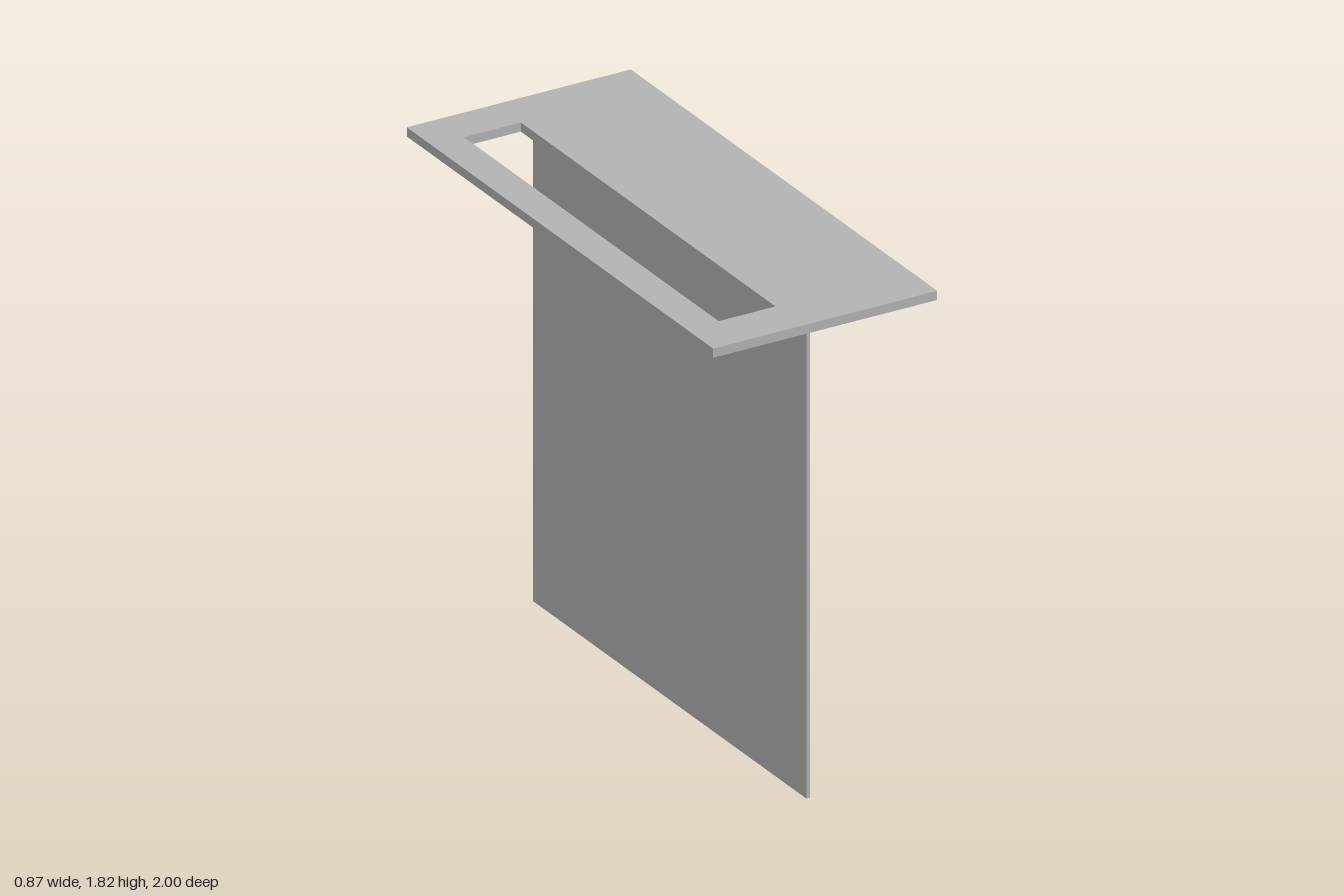
import * as THREE from 'three';

const TOP = 1.82, PLATE = 0.034, SHEET = 0.014;

const rect = (Type, x0, x1, y0, y1) => new Type([
  new THREE.Vector2(x0, y0), new THREE.Vector2(x1, y0),
  new THREE.Vector2(x1, y1), new THREE.Vector2(x0, y1),
]);

export function createModel() {
  const group = new THREE.Group();
  const grey = new THREE.MeshStandardMaterial({ color: 0xb2b2b2 });
  grey.name = 'grey';

  const add = (name, geometry) => {
    const mesh = new THREE.Mesh(geometry, grey);
    mesh.name = name;
    group.add(mesh);
  };

  // Top plate with an off-centre slot, extruded downward
  const plate = rect(THREE.Shape, -0.437, 0.437, -1, 1);
  plate.holes.push(rect(THREE.Path, -0.312, -0.09, -0.836, 0.826));
  add('topPlate', new THREE.ExtrudeGeometry(plate, { depth: PLATE, bevelEnabled: false })
    .rotateX(Math.PI / 2).translate(0, TOP, 0));

  // Hanging sheet: upright panel folded into a mounting flange under the plate
  const under = TOP - PLATE, left = -0.009, right = left + SHEET;
  const fold = new THREE.Shape([
    [left, 0], [right, 0], [right, under - SHEET],
    [0.135, under - SHEET], [0.135, under], [left, under],
  ].map(([x, y]) => new THREE.Vector2(x, y)));
  add('hangingPanelWithFlange', new THREE.ExtrudeGeometry(fold, { depth: 1.784, bevelEnabled: false })
    .translate(0, 0, -0.892));

  return group;
}
